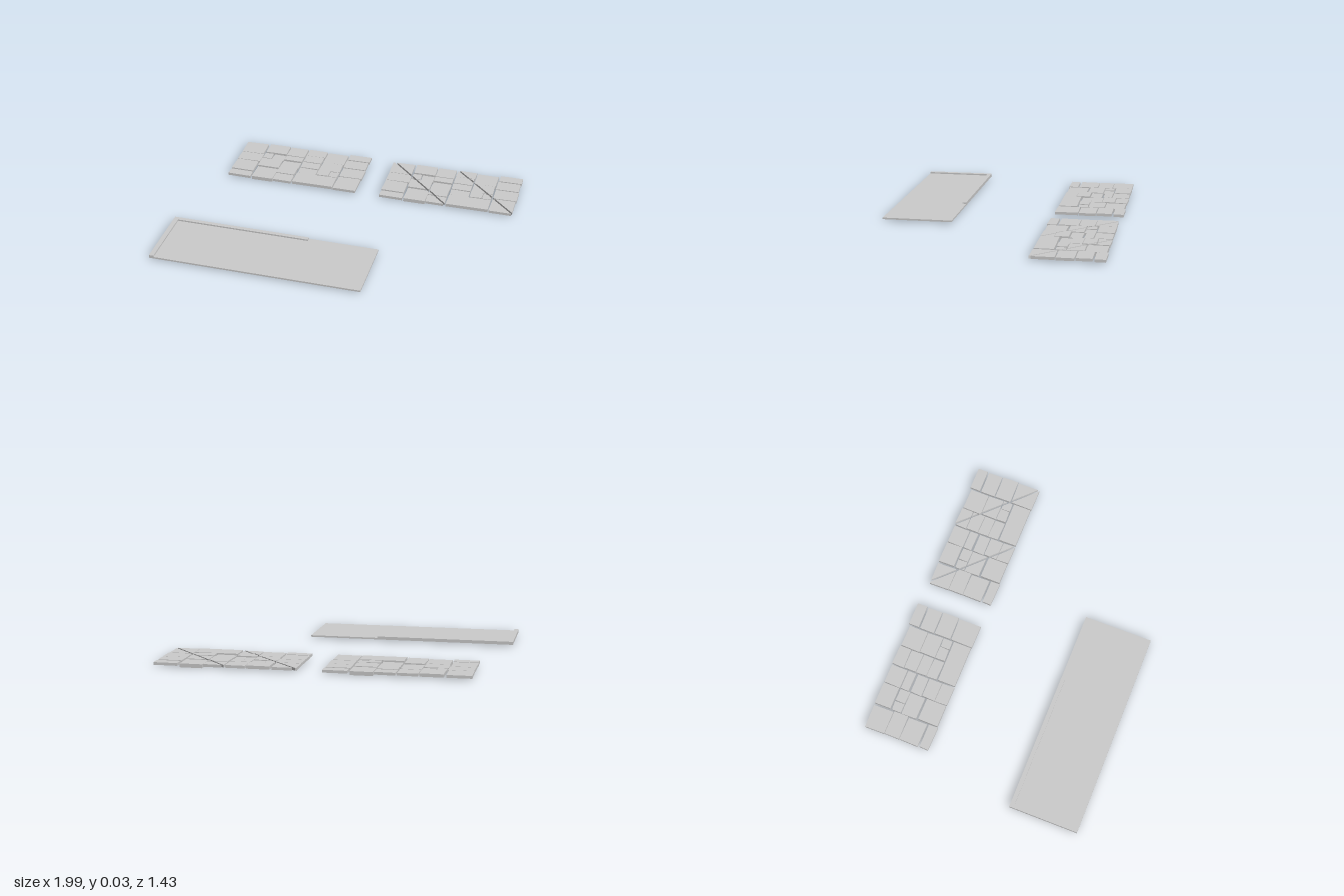
import * as THREE from 'three';

const material = new THREE.MeshStandardMaterial({ color: 0xcccccc, flatShading: true });

// Stones of one panel: [x0, x1, z0, z1, bottom, top], in hundredths, from the panel's left back corner
const stones = [
  // first column
  [0, 14.2, 1.2, 13.6], [0, 14.8, 14, 23.2], [0, 14.2, 23.8, 35.4], [0, 14.6, 36.6, 42.2],
  // second column
  [15.4, 29.4, 1, 11, 1, 2.9], [15.4, 21.2, 12, 18], [21.6, 29.4, 12, 18, 0.8, 2.2],
  [15.2, 29.2, 18.6, 28], [15.6, 29.2, 29.2, 41.6, 0.1, 2.4],
  // third column
  [29.8, 41.6, 1, 11.2], [29.8, 41.8, 11.6, 17], [29.8, 41.6, 18.4, 25, 0.9, 2.3],
  [29.8, 41.4, 25.6, 34, 1, 2.9], [29.8, 41.6, 34.4, 42],
  // fourth column
  [42.6, 55, 0.6, 8], [42.6, 54.8, 8.4, 16, 1, 2.8], [42.6, 54.8, 16.6, 23], [42.6, 54.8, 23.4, 29.8, 0.8, 2.2],
  // fifth column
  [55.4, 68.8, 0.9, 13, 0, 2.3], [55.4, 68.8, 13.6, 23.2], [55.2, 63, 23.8, 29.6, 1, 2.9],
  [63.4, 68.8, 23.8, 29.6], [42.6, 69, 30.6, 41.8, 1, 2.9],
  // sixth column
  [70.2, 84.4, 0, 6.4], [70, 84.2, 7.4, 16.4, 1.1, 2.7], [69.8, 84.4, 17, 27.4], [69.8, 84.4, 28, 42.2],
];

// Keep the part of a convex outline where side(point) >= 0
function clip(points, side) {
  const out = [];
  points.forEach((a, i) => {
    const b = points[(i + 1) % points.length];
    const da = side(a), db = side(b);
    if (da >= 0) out.push(a);
    if (da * db < 0) out.push(a.clone().lerp(b, da / (da - db)));
  });
  return out;
}

// Flat slab with an outline in x and z, between two heights
function slab(name, outline, y0, y1) {
  const shape = new THREE.Shape(outline.map((p) => new THREE.Vector2(p.x, -p.y)));
  const geometry = new THREE.ExtrudeGeometry(shape, { depth: y1 - y0, bevelEnabled: false });
  geometry.rotateX(-Math.PI / 2).translate(0, y0, 0);
  const mesh = new THREE.Mesh(geometry, material);
  mesh.name = name;
  return mesh;
}

// Panel of uneven paving stones, cut along diagonal lines x - z = c
function stonePanel(name, cuts) {
  const group = new THREE.Group();
  group.name = name;
  let seed = 7;
  const jitter = () => {
    seed = (seed * 16807) % 2147483647;
    return (seed / 2147483647 - 0.5) * 0.005;
  };
  const gap = 0.008;
  const limits = [-Infinity, ...cuts, Infinity];
  for (const [x0, x1, z0, z1, y0 = 1, y1 = 2.6] of stones) {
    const quad = [[x0, z0], [x1, z0], [x1, z1], [x0, z1]].map(
      ([x, z]) => new THREE.Vector2(x / 100 + jitter(), z / 100 + jitter()));
    for (let i = 0; i + 1 < limits.length; i++) {
      let piece = quad;
      const low = limits[i] + gap, high = limits[i + 1] - gap;
      if (Number.isFinite(low)) piece = clip(piece, (p) => p.x - p.y - low);
      if (Number.isFinite(high)) piece = clip(piece, (p) => high - p.x + p.y);
      if (piece.length > 2) group.add(slab('stone', piece, y0 / 100, y1 / 100));
    }
  }
  return group;
}

export function createModel() {
  const model = new THREE.Group();
  model.name = 'pavingSet';

  // Whole panel and diagonally cut panel
  const whole = stonePanel('wholeStonePanel', []);
  whole.position.set(-0.858, 0, -0.715);
  const cut = stonePanel('cutStonePanel', [0, 0.425]);
  cut.position.set(0.142, 0, -0.715);
  model.add(whole, cut);

  // Base board with a raised L-shaped lip
  const board = new THREE.Group();
  board.name = 'baseBoard';
  const outline = (pts) => pts.map(([x, z]) => new THREE.Vector2(x, z));
  board.add(slab('boardFloor', outline([[-1, 0.285], [0.285, 0.285], [0.285, 0.71], [-1, 0.71]]), 0.01, 0.02));
  board.add(slab('boardLip', outline([
    [-1, 0.285], [-0.145, 0.285], [-0.145, 0.31], [-0.972, 0.31], [-0.972, 0.71], [-1, 0.71],
  ]), 0.02, 0.029));
  model.add(board);
  return model;
}
